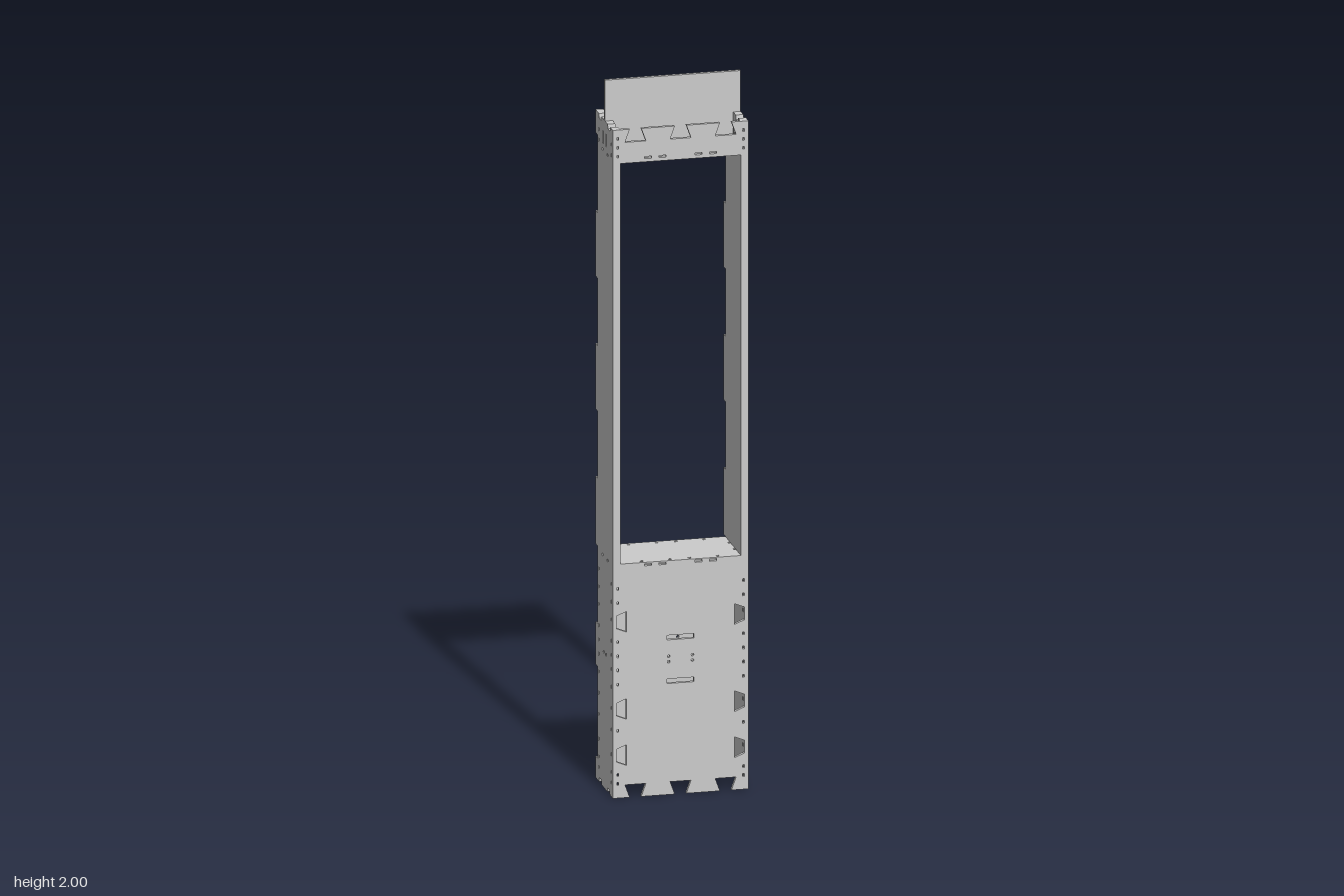
import * as THREE from 'three';

const mat = new THREE.MeshStandardMaterial({ color: 0xcccccc, flatShading: true });
const T = 0.0105;           // sheet thickness
const W = 0.188;            // half width
const TOP = 1.885, SILL = 0.66, HEAD = 1.79;
const DOVE = [-0.125, 0, 0.125];

const path = (pts) => pts.map(([x, y]) => new THREE.Vector2(x, y));
const rect = (cx, cy, w, h) => path([
  [cx - w / 2, cy - h / 2], [cx + w / 2, cy - h / 2], [cx + w / 2, cy + h / 2], [cx - w / 2, cy + h / 2]]);
const circle = (cx, cy, r) => path(Array.from({ length: 8 }, (_, i) =>
  [cx + r * Math.cos(i * Math.PI / 4), cy + r * Math.sin(i * Math.PI / 4)]));

// flat sheet cut from an outline with holes
function sheet(name, outline, holes, depth = T) {
  const shape = new THREE.Shape(path(outline));
  shape.holes = holes.map((h) => new THREE.Path(h));
  const m = new THREE.Mesh(new THREE.ExtrudeGeometry(shape, { depth, bevelEnabled: false }), mat);
  m.name = name;
  return m;
}

// outline with dovetail notches in the bottom and/or top edge
function dovetailOutline(w, y0, y1, bottom, top) {
  const pts = [[-w, y0]];
  if (bottom) for (const x of DOVE)
    pts.push([x - 0.016, y0], [x - 0.029, y0 + 0.036], [x + 0.029, y0 + 0.036], [x + 0.016, y0]);
  pts.push([w, y0], [w, y1]);
  if (top) for (const x of [...DOVE].reverse())
    pts.push([x + 0.016, y1], [x + 0.029, y1 - 0.036], [x - 0.029, y1 - 0.036], [x - 0.016, y1]);
  pts.push([-w, y1]);
  return pts;
}

// dovetail sockets and stitch holes down both edges of the lower panels
function lowerHoles() {
  const holes = [];
  for (const s of [-1, 1]) {
    for (const y of [0.12, 0.25, 0.496])
      holes.push(path([[s * 0.177, y - 0.018], [s * 0.15, y - 0.029], [s * 0.15, y + 0.029], [s * 0.177, y + 0.018]]));
    for (const y of [0.04, 0.065, 0.19, 0.32, 0.36, 0.4, 0.44, 0.55, 0.59])
      holes.push(rect(s * 0.174, y, 0.005, 0.008));
    for (const y of [0.375, 0.39]) holes.push(circle(s * 0.033, y, 0.004));
  }
  return holes.concat(tieSlots(0.653));
}
const tieSlots = (y) => [-0.09, -0.05, 0.05, 0.09].map((x) => rect(x, y, 0.02, 0.006));

// side outline in (z, y), with joint tabs along the back edge
function sideOutline(y0, zFront, tabs) {
  const pts = [[zFront, y0]];
  const notch = (y, dy, dir) => { for (const z of [0.05, -0.045])
    pts.push(...[[z + 0.015 , y], [z + 0.011, y + dy], [z - 0.011, y + dy], [z - 0.015, y]]); };
  if (y0 === 0) notch(0, 0.013);
  pts.push([-0.079, y0]);
  for (const [a, b] of tabs) {
    if (a <= y0) pts[pts.length - 1] = [-0.099, y0];
    else pts.push([-0.079, a], [-0.099, a]);
    pts.push([-0.099, b]);
    if (b < TOP) pts.push([-0.079, b]);
  }
  // top edge: two joint notches and the slot that takes the header board
  pts.push([-0.06, TOP], [-0.057, TOP - 0.012], [-0.034, TOP - 0.012], [-0.031, TOP],
    [-0.0005, TOP], [-0.0005, 1.803], [0.0110, 1.803], [0.0110, TOP],
    [0.04, TOP], [0.043, TOP - 0.012], [0.066, TOP - 0.012], [0.069, TOP], [zFront, TOP]);
  return pts;
}

export function createModel() {
  const g = new THREE.Group();

  // front panel with the tall window
  const window_ = rect(0, (SILL + HEAD) / 2, 0.334, HEAD - SILL);
  const slots = [0.32, 0.443].map((y) => rect(0, y, 0.074, 0.013));
  const corner = [];
  for (const s of [-1, 1]) for (const y of [1.81, 1.835, 1.86]) corner.push(rect(s * 0.174, y, 0.005, 0.008));
  const front = sheet('frontPanel', dovetailOutline(W, 0, TOP, true, true),
    [window_, ...slots, ...lowerHoles(), ...tieSlots(1.802), ...corner]);
  front.position.z = 0.0885;
  g.add(front);

  // back: lower panel and top rail, open between them
  const back = sheet('backPanel', dovetailOutline(W - T, 0, SILL, true, false),
    lowerHoles().map((h) => h.map((p) => new THREE.Vector2(THREE.MathUtils.clamp(p.x, -0.1765, 0.1765), p.y))));
  const rail = sheet('backTopRail', dovetailOutline(0.167, HEAD, TOP, false, true), tieSlots(1.802));
  for (const m of [back, rail]) { m.position.z = -0.08; g.add(m); }

  // sides: full-height outer sheet and an inner liner beside the opening
  const upperTabs = [[0.66, 0.85], [1.04, 1.225], [1.415, 1.6], [1.82, TOP]];
  const outerTabs = [[0, 0.06], [0.32, 0.44], ...upperTabs];
  const sockets = [rect(0.022, 1.833, 0.012, 0.035), rect(-0.012, 1.833, 0.012, 0.035)];
  const sideHoles = [...sockets];
  for (const z of [0.022, -0.006]) sideHoles.push(circle(z, 0.382, 0.005));
  for (const z of [0.04, -0.02]) for (const y of [0.653, 1.797]) sideHoles.push(rect(z, y, 0.012, 0.007));
  for (const z of [0.08, -0.065]) {
    for (const y of [0.04, 0.07, 0.12, 0.19, 0.25, 0.31, 0.36, 0.4, 0.44, 0.5, 0.55, 0.6, 1.81, 1.84])
      sideHoles.push(rect(z, y, 0.006, 0.009));
  }
  for (const s of [-1, 1]) {
    const outer = sheet(s > 0 ? 'leftSide' : 'rightSide', sideOutline(0, 0.0885, outerTabs), sideHoles);
    const liner = sheet(s > 0 ? 'leftLiner' : 'rightLiner', sideOutline(SILL, 0.0885, upperTabs), sockets);
    outer.position.x = s > 0 ? W : -W + T;
    liner.position.x = s > 0 ? W - T : -W + 2 * T;
    for (const m of [outer, liner]) { m.rotation.y = -Math.PI / 2; g.add(m); }
  }

  // shelf at the sill and ceiling over the window, with small nut notches
  for (const [name, y] of [['shelf', SILL], ['ceiling', HEAD + 0.0125]]) {
    const a = 0.167, z0 = -0.0695, z1 = 0.0885, n = 0.006, h = 0.004;
    const pts = [[-a, z0]];
    const xs = [-0.105, -0.027, 0.027, 0.105], zs = [-0.022, 0.038];
    for (const x of xs) pts.push([x - h, z0], [x - h, z0 + n], [x + h, z0 + n], [x + h, z0]);
    pts.push([a, z0]);
    for (const z of zs) pts.push([a, z - h], [a - n, z - h], [a - n, z + h], [a, z + h]);
    pts.push([a, z1]);
    for (const x of [...xs].reverse()) pts.push([x + h, z1], [x + h, z1 - n], [x - h, z1 - n], [x - h, z1]);
    pts.push([-a, z1]);
    for (const z of [...zs].reverse()) pts.push([-a, z + h], [-a + n, z + h], [-a + n, z - h], [-a, z - h]);
    const m = sheet(name, pts, [], 0.0125);
    m.rotation.x = Math.PI / 2;
    m.position.y = y;
    g.add(m);
  }

  // header board standing in the side slots
  const header = sheet('headerBoard', [[-W, 1.803], [W, 1.803], [W, 2], [-W, 2]], []);
  g.add(header);
  return g;
}
